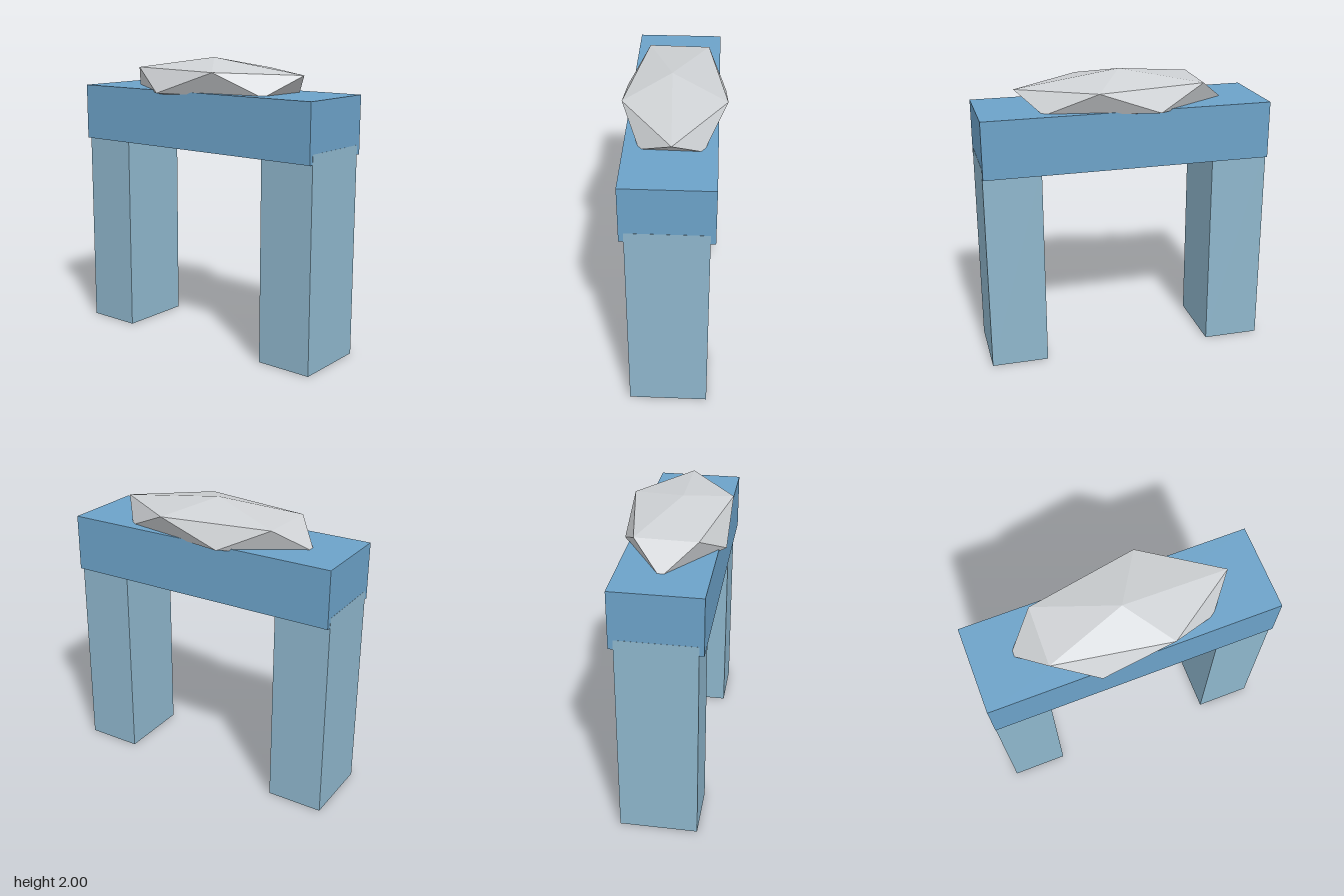
import * as THREE from 'three';

const material = (name, color) => {
  const m = new THREE.MeshStandardMaterial({ color });
  m.name = name;
  return m;
};

// Box given by its lower and upper corners
function block(name, [x0, y0, z0], [x1, y1, z1], mat) {
  const mesh = new THREE.Mesh(new THREE.BoxGeometry(x1 - x0, y1 - y0, z1 - z0), mat);
  mesh.position.set((x0 + x1) / 2, (y0 + y1) / 2, (z0 + z1) / 2);
  mesh.name = name;
  return mesh;
}

// Faceted boulder: two staggered rings of five corners closed by two tips
function boulderGeometry() {
  const top = [0, 2, 0.02];
  const bottom = [0, 1.68, 0];
  const upper = [[0.725, 1.905, -0.01], [0.235, 1.92, 0.33], [-0.54, 1.92, 0.2], [-0.53, 1.92, -0.21], [0.22, 1.92, -0.345]];
  const lower = [[0.55, 1.765, 0.2], [-0.25, 1.76, 0.34], [-0.735, 1.76, -0.01], [-0.2, 1.765, -0.335], [0.56, 1.765, -0.2]];
  const points = [];
  for (let i = 0; i < 5; i++) {
    const j = (i + 1) % 5;
    points.push(top, upper[j], upper[i]);
    points.push(upper[i], upper[j], lower[i]);
    points.push(lower[i], upper[j], lower[j]);
    points.push(bottom, lower[i], lower[j]);
  }
  const geometry = new THREE.BufferGeometry();
  geometry.setAttribute('position', new THREE.Float32BufferAttribute(points.flat(), 3));
  geometry.computeVertexNormals(); // unshared corners give flat facets
  return geometry;
}

export function createModel() {
  const pillarBlue = material('pale blue stone', 0x8eb6cc);
  const lintelBlue = material('blue stone', 0x6ca2c8);
  const rockGrey = material('light grey rock', 0xcfd2d5);

  const arch = new THREE.Group();
  arch.name = 'stoneArch';

  // Pillars reach a little way into the lintel, outer ends just proud of it
  arch.add(block('rightPillar', [-0.988, 0, -0.257], [-0.597, 1.45, 0.268], pillarBlue));
  arch.add(block('leftPillar', [0.592, 0, -0.257], [0.984, 1.45, 0.268], pillarBlue));

  // Lintel across the top
  arch.add(block('lintel', [-0.987, 1.385, -0.29], [0.983, 1.777, 0.299], lintelBlue));

  // Boulder sunk into the lintel
  const boulder = new THREE.Mesh(boulderGeometry(), rockGrey);
  boulder.name = 'boulder';
  arch.add(boulder);

  return arch;
}
